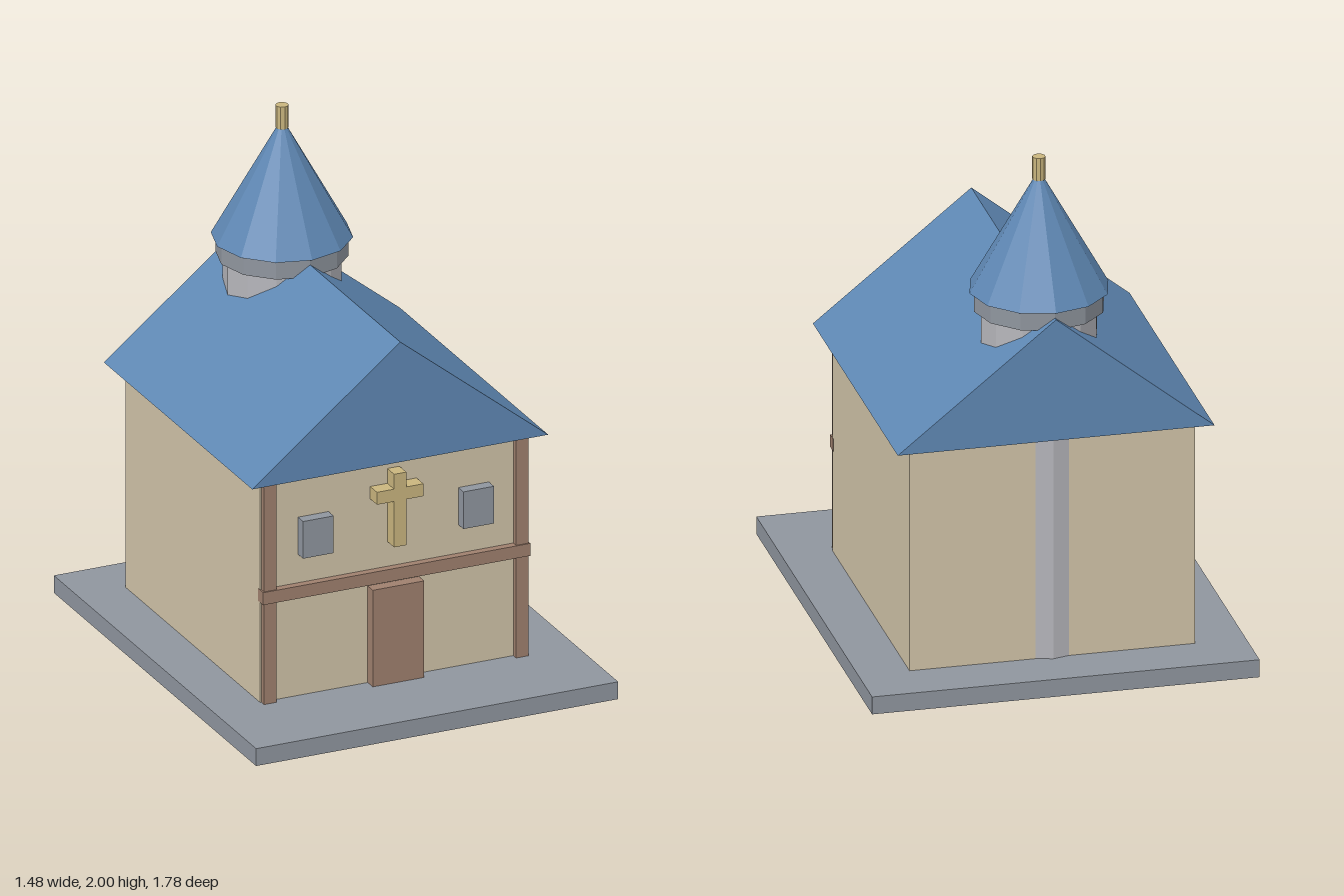
import * as THREE from 'three';

const mat = (name, color) => {
  const m = new THREE.MeshStandardMaterial({ color, flatShading: true });
  m.name = name;
  return m;
};

export function createModel() {
  const plaster = mat('plaster', 0xd0c3a8);
  const wood = mat('wood', 0x9f806e);
  const slate = mat('blue slate', 0x5f88b4);
  const stone = mat('grey stone', 0x8f959e);
  const pale = mat('pale stone', 0xb6b6bb);
  const gold = mat('gold', 0xc9b57e);

  const group = new THREE.Group();
  const add = (name, geometry, material) => {
    const mesh = new THREE.Mesh(geometry, material);
    mesh.name = name;
    group.add(mesh);
    return mesh;
  };
  // Box given by its limits on each axis
  const box = (name, material, [x0, x1], [y0, y1], [z0, z1]) =>
    add(name, new THREE.BoxGeometry(x1 - x0, y1 - y0, z1 - z0), material)
      .position.set((x0 + x1) / 2, (y0 + y1) / 2, (z0 + z1) / 2);

  // Ground slab and walls
  box('baseSlab', stone, [-0.74, 0.74], [0, 0.07], [-0.89, 0.89]);
  box('walls', plaster, [-0.545, 0.545], [0.07, 0.965], [-0.68, 0.505]);

  // Front timber, door and windows
  for (const s of [-1, 1]) {
    const span = (a, b) => (s > 0 ? [a, b] : [-b, -a]);
    box('cornerPost', wood, span(0.49, 0.54), [0.07, 0.965], [0.48, 0.53]);
    box('window', stone, span(0.265, 0.39), [0.64, 0.79], [0.5, 0.55]);
  }
  box('crossBeam', wood, [-0.546, 0.546], [0.475, 0.525], [0.49, 0.535]);
  box('door', wood, [-0.105, 0.105], [0.07, 0.46], [0.5, 0.55]);

  // Cross on the front wall, as one outline
  const half = [[0.025, 0.92], [0.025, 0.86], [0.095, 0.86], [0.095, 0.81], [0.025, 0.81], [0.025, 0.625]];
  const outline = [...half, ...half.map(([x, y]) => [-x, y]).reverse()];
  const crossShape = new THREE.Shape(outline.map(([x, y]) => new THREE.Vector2(x, y)));
  add('cross', new THREE.ExtrudeGeometry(crossShape, { depth: 0.065, bevelEnabled: false }), gold)
    .position.z = 0.5;

  // Gabled roof, a solid prism
  const gable = new THREE.Shape([
    new THREE.Vector2(-0.605, 0.965),
    new THREE.Vector2(0.605, 0.965),
    new THREE.Vector2(0, 1.45),
  ]);
  add('roof', new THREE.ExtrudeGeometry(gable, { depth: 1.305, bevelEnabled: false }), slate)
    .position.z = -0.74;

  // Round tower, rising through the rear of the house
  const ring = (name, material, top, bottom, y0, y1, sides = 12) =>
    add(name, new THREE.CylinderGeometry(top, bottom, y1 - y0, sides), material)
      .position.set(0, (y0 + y1) / 2, -0.475);
  ring('towerShaft', pale, 0.222, 0.222, 0.07, 1.41);
  ring('towerBand', stone, 0.248, 0.248, 1.4, 1.48);
  ring('spire', slate, 0.018, 0.265, 1.475, 1.915);
  ring('finial', gold, 0.025, 0.025, 1.91, 2, 10);

  return group;
}
